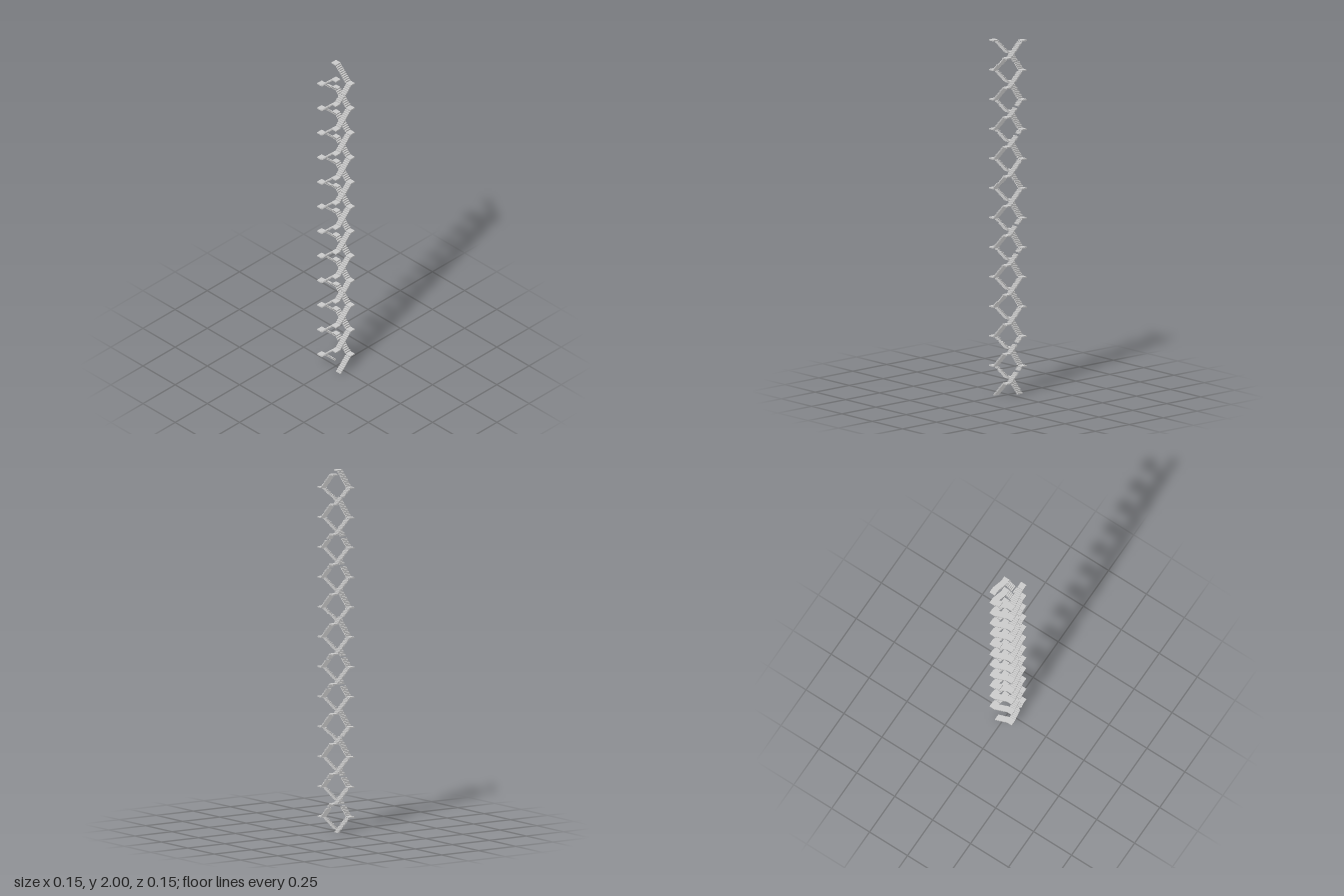
import * as THREE from 'three';
import { mergeGeometries } from 'three/addons/utils/BufferGeometryUtils.js';

const FLIGHTS = 24, TREADS = 9;
const FLIGHT_RISE = 2 / FLIGHTS;
const RISE = FLIGHT_RISE / (TREADS + 1);
const OUTER = 0.073, INNER = 0.038;          // outer and inner half-widths of the square ring
const WIDTH = OUTER - INNER, MID = (OUTER + INNER) / 2;
const RUN = 2 * INNER / TREADS;

const material = new THREE.MeshStandardMaterial({ color: 0xcccccc, flatShading: true });

// box whose top face lies at y = top
function slab(w, h, d, x, top, z) {
  return new THREE.BoxGeometry(w, h, d).translate(x, top - h / 2, z);
}

// treads on the +x side, climbing from +z to -z; skip = missing tread, split = small break at mid-run
function flightGeometry(skip, split) {
  const treads = [];
  for (let k = 1; k <= TREADS; k++) {
    if (k === skip) continue;
    const shift = split ? (k <= TREADS / 2 ? 0.003 : -0.003) : 0;
    treads.push(slab(WIDTH, RISE, RUN, MID, k * RISE, INNER - (k - 0.5) * RUN + shift));
  }
  return mergeGeometries(treads);
}

export function createModel() {
  const model = new THREE.Group();
  model.name = 'doubleSquareSpiralStair';

  const plain = flightGeometry(0, false);
  const gapMiddle = flightGeometry(6, false);
  const gapUpper = flightGeometry(7, false);
  const broken = flightGeometry(0, true);
  const variants = { 1: gapUpper, 3: gapMiddle, 6: broken };
  const landingGeometry = slab(WIDTH, 0.007, WIDTH, MID, FLIGHT_RISE, -MID);

  // two interleaved stairs, half a turn apart
  for (const [name, start] of [['firstStair', 0], ['secondStair', Math.PI]]) {
    const stair = new THREE.Group();
    stair.name = name;
    stair.rotation.y = start;
    for (let f = 0; f < FLIGHTS; f++) {
      const unit = new THREE.Group();
      unit.name = 'flightWithLanding';
      unit.position.y = f * FLIGHT_RISE;
      unit.rotation.y = f * Math.PI / 2;
      const treads = new THREE.Mesh(variants[f % 8] || plain, material);
      treads.name = 'treads';
      const landing = new THREE.Mesh(landingGeometry, material);
      landing.name = 'cornerLanding';
      unit.add(treads, landing);
      stair.add(unit);
    }
    model.add(stair);
  }
  return model;
}
